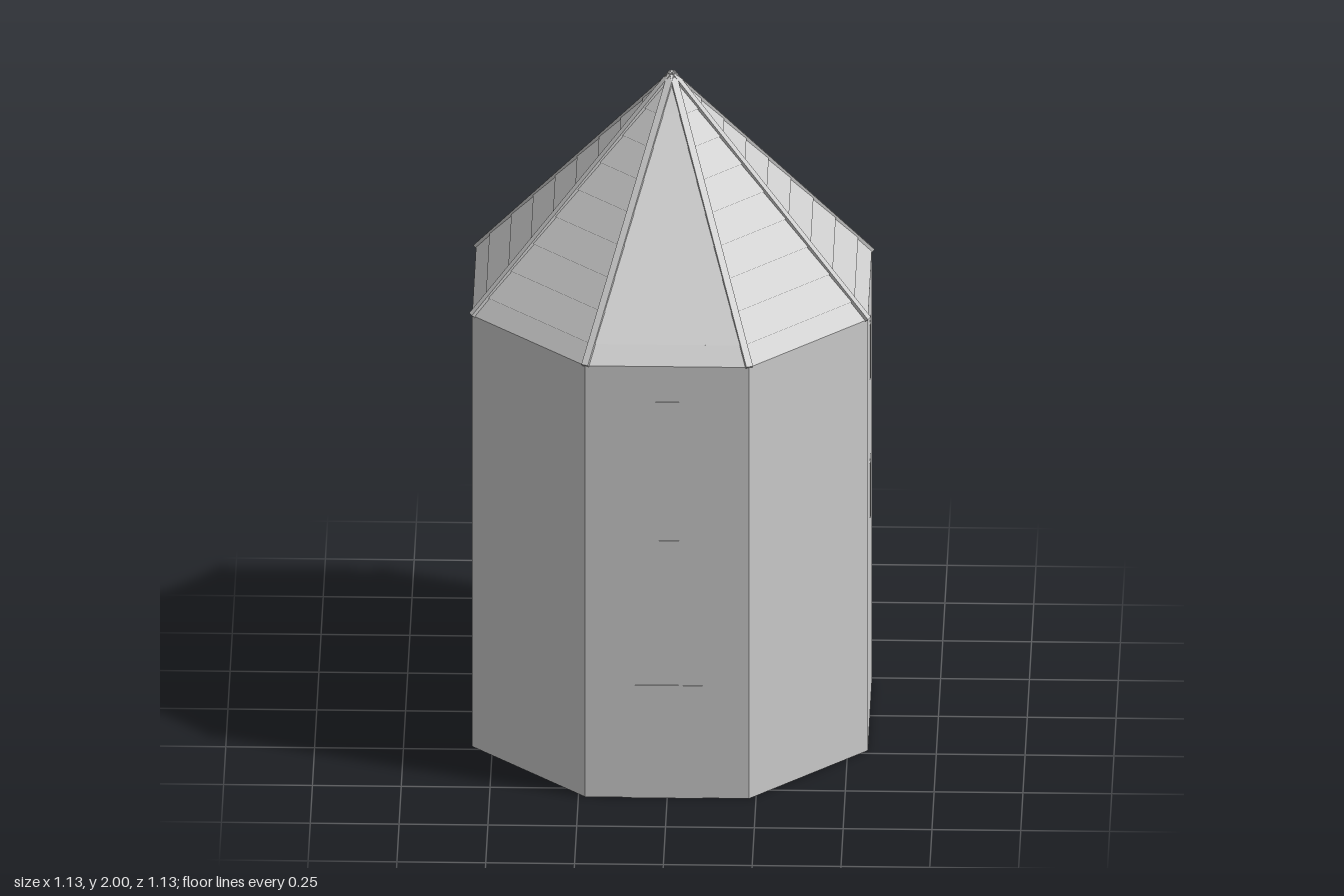
import * as THREE from 'three';

const SIDES = 8;
const APOTHEM = 0.557;
const RADIUS = APOTHEM / Math.cos(Math.PI / SIDES);
const EAVE = 1.34;
const APEX = 1.993;

export function createModel() {
  const stone = new THREE.MeshStandardMaterial({ color: 0xcccccc, side: THREE.DoubleSide });
  stone.name = 'pale grey';
  const tower = new THREE.Group();
  tower.name = 'tower';

  const add = (name, geometry, parent = tower) => {
    const mesh = new THREE.Mesh(geometry, stone);
    mesh.name = name;
    parent.add(mesh);
    return mesh;
  };

  // Eight-sided faceted shell from [radius, height] points
  const octagon = (points) => {
    const lathe = new THREE.LatheGeometry(
      points.map(([r, y]) => new THREE.Vector2(r, y)), SIDES, Math.PI / SIDES);
    const flat = lathe.toNonIndexed();
    flat.computeVertexNormals();
    return flat;
  };

  // Walls, open at the bottom
  add('walls', octagon([[RADIUS, 0], [RADIUS, EAVE]]));

  // Roof of overlapping board courses, each with a small lip
  const roofRadius = (y) => RADIUS * (APEX - y) / (APEX - EAVE);
  const profile = [[RADIUS, EAVE]];
  for (let i = 0; i < 8; i++) {
    const y = 1.39 + 0.073 * i;
    profile.push([roofRadius(y), y], [roofRadius(y) + 0.005, y]);
  }
  profile.push([0, APEX]);
  add('roof', octagon(profile));

  // Ribs along the roof hips
  const slope = Math.atan2(APEX - EAVE, RADIUS);
  const length = Math.hypot(APEX - EAVE, RADIUS);
  for (let i = 0; i < SIDES; i++) {
    const pivot = new THREE.Group();
    pivot.name = 'roofRib';
    pivot.rotation.y = (i + 0.5) * Math.PI * 2 / SIDES;
    tower.add(pivot);
    const rib = add('ribBeam', new THREE.BoxGeometry(0.02, 0.013, length), pivot);
    rib.position.set(0, (EAVE + APEX) / 2, RADIUS / 2);
    rib.rotation.x = slope;
  }

  // Two windows on each of the four main sides
  for (let i = 0; i < 4; i++) {
    const side = new THREE.Group();
    side.name = 'windowPair';
    side.rotation.y = i * Math.PI / 2;
    tower.add(side);
    for (const y of [0.715, 1.145]) {
      add('window', new THREE.BoxGeometry(0.066, 0.17, 0.006), side).position.set(0, y, APOTHEM);
    }
  }

  // Front door
  add('door', new THREE.BoxGeometry(0.2, 0.35, 0.006)).position.set(0, 0.175, APOTHEM);

  return tower;
}
